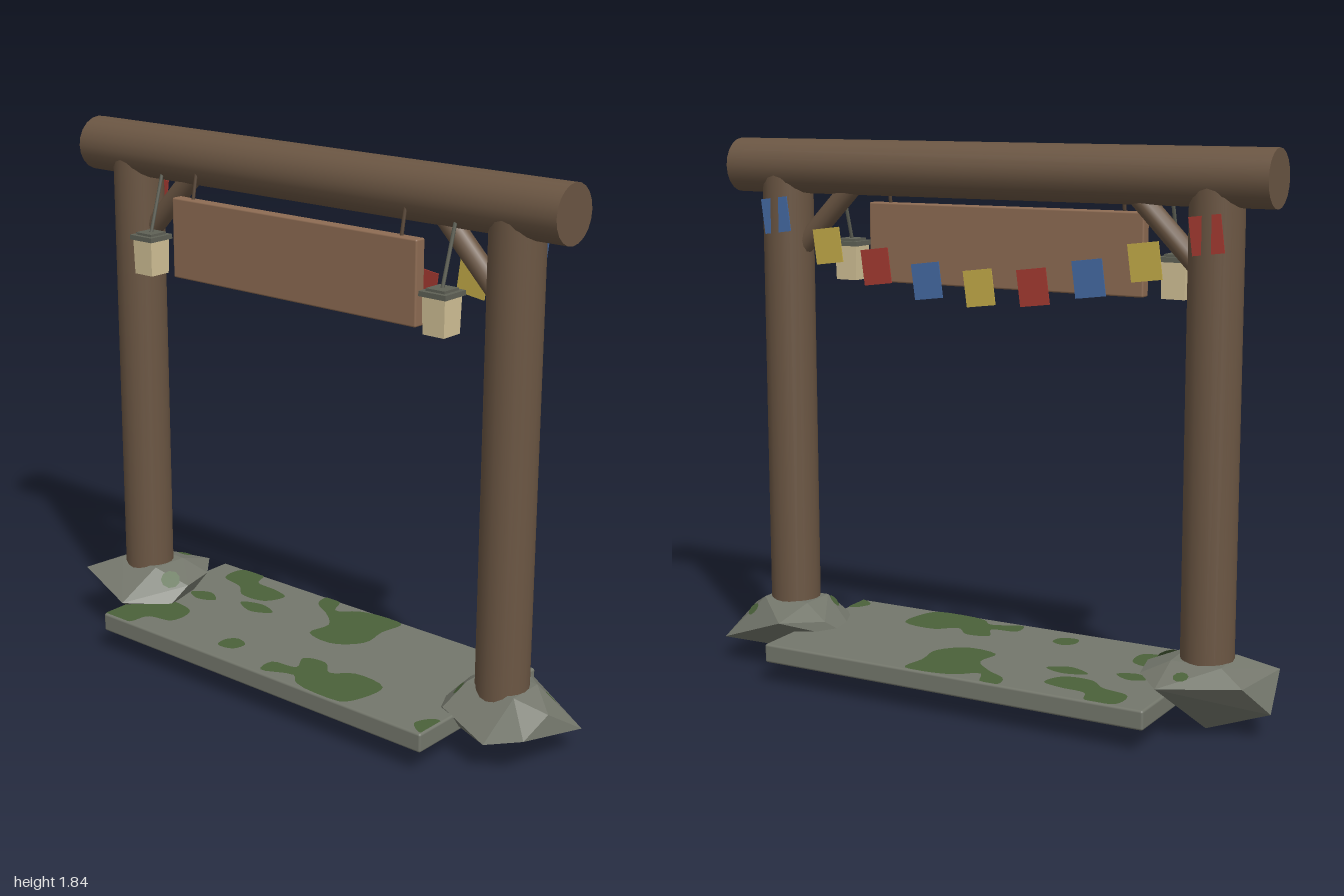
import * as THREE from 'three';
import { RoundedBoxGeometry } from 'three/addons/geometries/RoundedBoxGeometry.js';
import { ConvexGeometry } from 'three/addons/geometries/ConvexGeometry.js';

const mat = (name, color, extra = {}) => {
  const m = new THREE.MeshStandardMaterial({ color, ...extra });
  m.name = name;
  return m;
};

export function createModel() {
  const model = new THREE.Group();
  model.name = 'gateway';
  const wood = mat('wood', 0x6b5643);
  const board = mat('board', 0x8e6c53);
  const stone = mat('stone', 0x74776c);
  const rockStone = mat('rock stone', 0x74776c, { flatShading: true });
  const moss = mat('moss', 0x4b623a, { side: THREE.DoubleSide });
  const cord = mat('cord', 0x584636);
  const metal = mat('lantern cap', 0x5f6156);
  const paper = mat('lantern paper', 0xd3c297);
  const flagMats = [mat('red', 0xa53a31), mat('yellow', 0xc4ac49), mat('blue', 0x456aa3)];

  const add = (name, geo, material, x = 0, y = 0, z = 0, parent = model) => {
    const m = new THREE.Mesh(geo, material);
    m.name = name;
    m.position.set(x, y, z);
    parent.add(m);
    return m;
  };
  // cylinder between two points
  const rod = (name, a, b, r, material, sides = 16) => {
    const p = new THREE.Vector3(...a), q = new THREE.Vector3(...b);
    const dir = q.clone().sub(p);
    const m = add(name, new THREE.CylinderGeometry(r, r, dir.length(), sides), material);
    m.position.copy(p).add(q).multiplyScalar(0.5);
    m.quaternion.setFromUnitVectors(new THREE.Vector3(0, 1, 0), dir.normalize());
    return m;
  };

  // timber frame
  rod('beam', [-0.975, 1.745, 0], [0.985, 1.745, 0], 0.092, wood, 20);
  rod('rightPost', [-0.78, 0.12, 0], [-0.78, 1.775, 0], 0.0865, wood, 20);
  rod('leftPost', [0.795, 0.12, 0], [0.795, 1.775, 0], 0.0865, wood, 20);
  rod('rightBrace', [-0.75, 1.445, 0], [-0.49, 1.71, 0], 0.035, wood, 12);
  rod('leftBrace', [0.765, 1.445, 0], [0.505, 1.71, 0], 0.035, wood, 12);

  // threshold slab
  add('slab', new RoundedBoxGeometry(1.41, 0.065, 0.625, 2, 0.008), stone, 0.005, 0.108, -0.0025);

  // moss on the slab, outlines as x, z pairs
  const patches = [
    [-0.6, -0.3, -0.5, -0.31, -0.47, -0.25, -0.38, -0.24, -0.31, -0.215, -0.34, -0.14, -0.44, -0.13, -0.5, -0.18, -0.6, -0.21],
    [-0.19, -0.31, -0.13, -0.31, -0.09, -0.24, -0.02, -0.29, 0.08, -0.31, 0.16, -0.3, 0.15, -0.2, 0.16, -0.1, 0.08, -0.02, -0.04, -0.04, -0.03, -0.13, -0.1, -0.2, -0.18, -0.25],
    [-0.695, 0.11, -0.64, 0.08, -0.48, 0.1, -0.47, 0.2, -0.56, 0.23, -0.58, 0.305, -0.695, 0.305],
    [-0.22, 0.19, -0.19, 0.16, -0.14, 0.18, -0.15, 0.23, -0.21, 0.24],
    [0.08, 0.13, 0.16, 0.11, 0.22, 0.16, 0.29, 0.11, 0.42, 0.13, 0.42, 0.23, 0.38, 0.3, 0.19, 0.29, 0.14, 0.25, 0.03, 0.29, 0.02, 0.22, 0.11, 0.2],
    [0.68, 0.2, 0.705, 0.2, 0.705, 0.3, 0.65, 0.26],
    [-0.4, -0.08, -0.32, -0.11, -0.25, -0.08, -0.32, -0.04],
    [-0.6, -0.03, -0.54, -0.07, -0.48, -0.03, -0.54, 0.0],
  ];
  for (const p of patches) {
    const pts = [];
    for (let i = 0; i < p.length; i += 2) pts.push(new THREE.Vector3(p[i], -p[i + 1], 0));
    const line = new THREE.CatmullRomCurve3(pts, true).getPoints(48).slice(0, -1);
    const shape = new THREE.Shape(line.map((v) => new THREE.Vector2(
      THREE.MathUtils.clamp(v.x, -0.695, 0.705), THREE.MathUtils.clamp(v.y, -0.305, 0.31))));
    add('slabMoss', new THREE.ShapeGeometry(shape).rotateX(-Math.PI / 2), moss, 0, 0.1425, 0);
  }

  // faceted foot rocks
  const rock = (name, pts) =>
    add(name, new ConvexGeometry(pts.map((p) => new THREE.Vector3(...p))), rockStone);
  const rightRock = rock('rightRock', [
    [-1, 0.085, -0.01], [-0.975, 0.19, 0.135], [-0.945, 0.19, -0.12], [-0.7, 0.185, -0.23],
    [-0.6, 0.19, -0.115], [-0.567, 0.19, 0.02], [-0.575, 0.14, 0.1], [-0.7, 0.15, 0.22],
    [-0.86, 0.24, 0.06], [-0.69, 0.24, 0.06], [-0.86, 0.235, -0.08], [-0.69, 0.235, -0.08],
    [-0.78, 0, 0], [-0.63, 0.055, 0.05]]);
  const leftRock = rock('leftRock', [
    [1, 0.08, -0.15], [0.97, 0.175, 0], [0.965, 0.13, 0.125], [0.85, 0.1, 0.175],
    [0.66, 0.15, 0.13], [0.71, 0.19, -0.23], [0.62, 0.17, -0.08], [0.545, 0.08, 0.03],
    [0.79, 0.025, 0], [0.88, 0.225, 0.06], [0.88, 0.225, -0.07], [0.7, 0.225, 0.06], [0.7, 0.225, -0.07]]);

  // moss spots laid on the rock facets
  const ray = new THREE.Raycaster();
  for (const [target, x, z, r] of [[rightRock, -0.755, -0.155, 0.025], [rightRock, -0.625, 0.05, 0.035],
    [leftRock, 0.91, -0.1, 0.025], [leftRock, 0.68, 0.07, 0.025]]) {
    ray.set(new THREE.Vector3(x, 1, z), new THREE.Vector3(0, -1, 0));
    const hit = ray.intersectObject(target)[0];
    if (!hit) continue;
    const spot = add('rockMoss', new THREE.CircleGeometry(r, 9), moss);
    spot.position.copy(hit.point).addScaledVector(hit.face.normal, 0.002);
    spot.quaternion.setFromUnitVectors(new THREE.Vector3(0, 0, 1), hit.face.normal);
  }

  // hanging board
  add('signBoard', new RoundedBoxGeometry(1.02, 0.27, 0.042, 2, 0.006), board, 0.005, 1.49, 0.096);
  for (const x of [-0.43, 0.44]) rod('signCord', [x, 1.61, 0.096], [x, 1.72, 0.075], 0.006, cord, 6);

  // lanterns
  for (const x of [-0.605, 0.615]) {
    const lantern = new THREE.Group();
    lantern.name = 'lantern';
    lantern.position.set(x, 0, 0.12);
    model.add(lantern);
    const body = new THREE.CylinderGeometry(0.06, 0.056, 0.12, 4, 1).rotateY(Math.PI / 4).toNonIndexed();
    body.computeVertexNormals();
    add('lanternBody', body, paper, 0, 1.415, 0, lantern);
    add('lanternCap', new THREE.BoxGeometry(0.1, 0.016, 0.1), metal, 0, 1.48, 0, lantern);
    add('lanternCapTop', new THREE.BoxGeometry(0.07, 0.01, 0.07), metal, 0, 1.491, 0, lantern);
    rod('lanternCord', [x, 1.49, 0.12], [x, 1.69, 0.06], 0.006, metal, 6);
  }

  // sagging row of flags along the back
  const flagGeo = new THREE.BoxGeometry(0.105, 0.118, 0.004);
  [-0.78, -0.58, -0.39, -0.195, 0, 0.195, 0.39, 0.58, 0.79].forEach((x, i) => {
    const flag = add('flag', flagGeo, flagMats[i % 3], x, 1.375 + 0.33 * x * x, -0.082);
    flag.rotation.z = -0.13;
  });
  return model;
}
